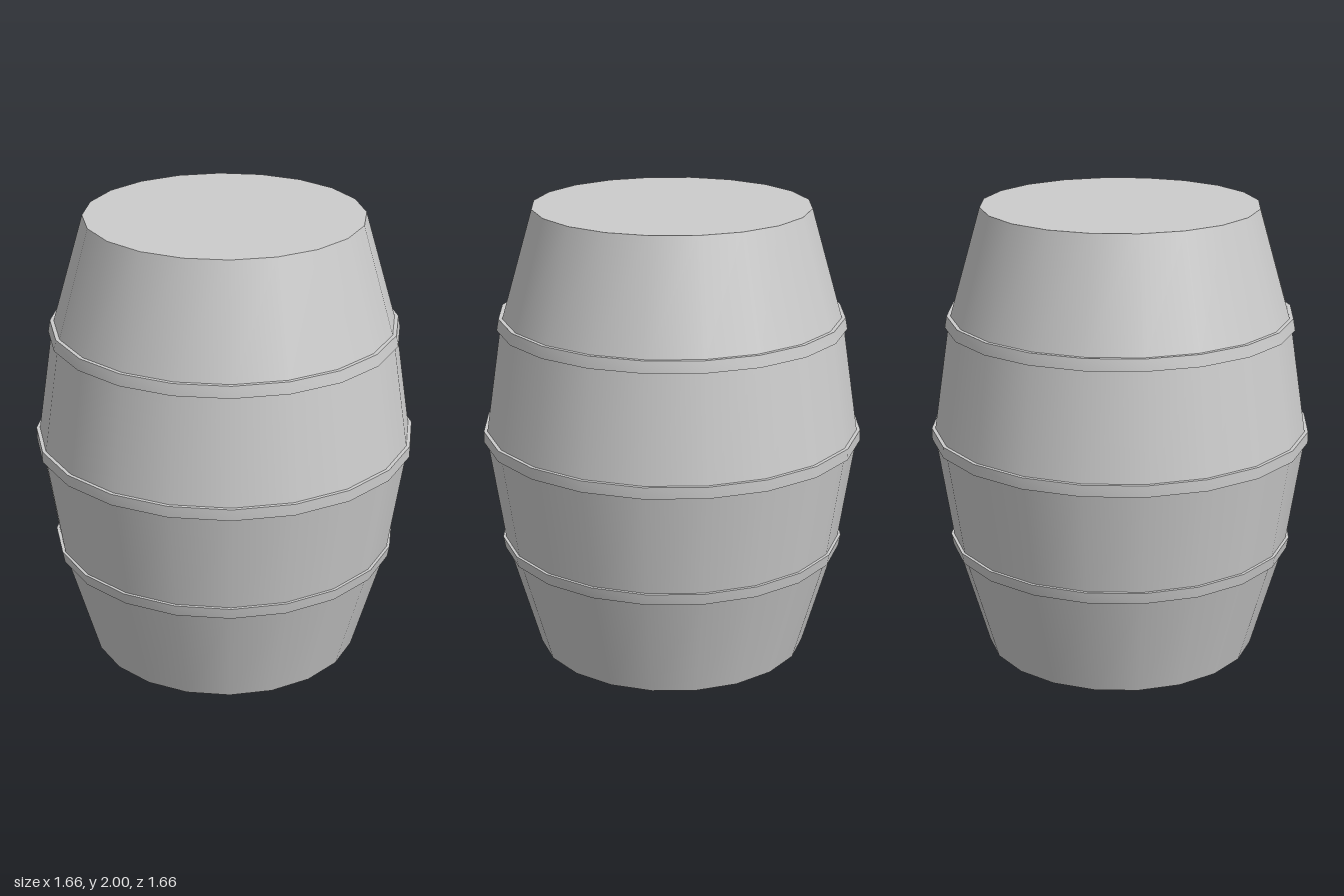
import * as THREE from 'three';
import { toCreasedNormals } from 'three/addons/utils/BufferGeometryUtils.js';

const SIDES = 20;
const material = new THREE.MeshStandardMaterial({ color: 0xcccccc });

// Barrel outline as [radius, height]
const OUTLINE = [[0.6, 0], [0.745, 0.5], [0.82, 1], [0.745, 1.5], [0.6, 2]];

function add(parent, name, geometry, y = 0) {
  const mesh = new THREE.Mesh(geometry, material);
  mesh.name = name;
  mesh.position.y = y;
  parent.add(mesh);
  return mesh;
}

// Closed ring with a slanted outer face, smooth around and sharp at its rims
function hoopGeometry(bottomRadius, topRadius, inner, halfHeight) {
  const profile = [
    [inner, -halfHeight], [bottomRadius, -halfHeight],
    [topRadius, halfHeight], [inner, halfHeight], [inner, -halfHeight],
  ].map(([r, y]) => new THREE.Vector2(r, y));
  return toCreasedNormals(new THREE.LatheGeometry(profile, SIDES), 0.6);
}

export function createModel() {
  const barrel = new THREE.Group();
  barrel.name = 'barrel';

  // Tapered wall sections, each with its own slope
  const walls = new THREE.Group();
  walls.name = 'walls';
  barrel.add(walls);
  for (let i = 0; i < OUTLINE.length - 1; i++) {
    const [r0, y0] = OUTLINE[i];
    const [r1, y1] = OUTLINE[i + 1];
    add(walls, 'wallSection' + (i + 1),
      new THREE.CylinderGeometry(r1, r0, y1 - y0, SIDES, 1, true), (y0 + y1) / 2);
  }

  // Flat ends, with corners matching the wall
  const disc = new THREE.CircleGeometry(0.6, SIDES);
  add(barrel, 'lid', disc, 2).rotation.x = -Math.PI / 2;
  add(barrel, 'base', disc, 0).rotation.x = Math.PI / 2;

  // Hoops: the outer pair lean with the wall, the middle one is upright
  add(barrel, 'lowerHoop', hoopGeometry(0.753, 0.762, 0.72, 0.025), 0.5);
  add(barrel, 'middleHoop', hoopGeometry(0.832, 0.832, 0.8, 0.025), 1);
  add(barrel, 'upperHoop', hoopGeometry(0.762, 0.753, 0.72, 0.025), 1.505);

  return barrel;
}
